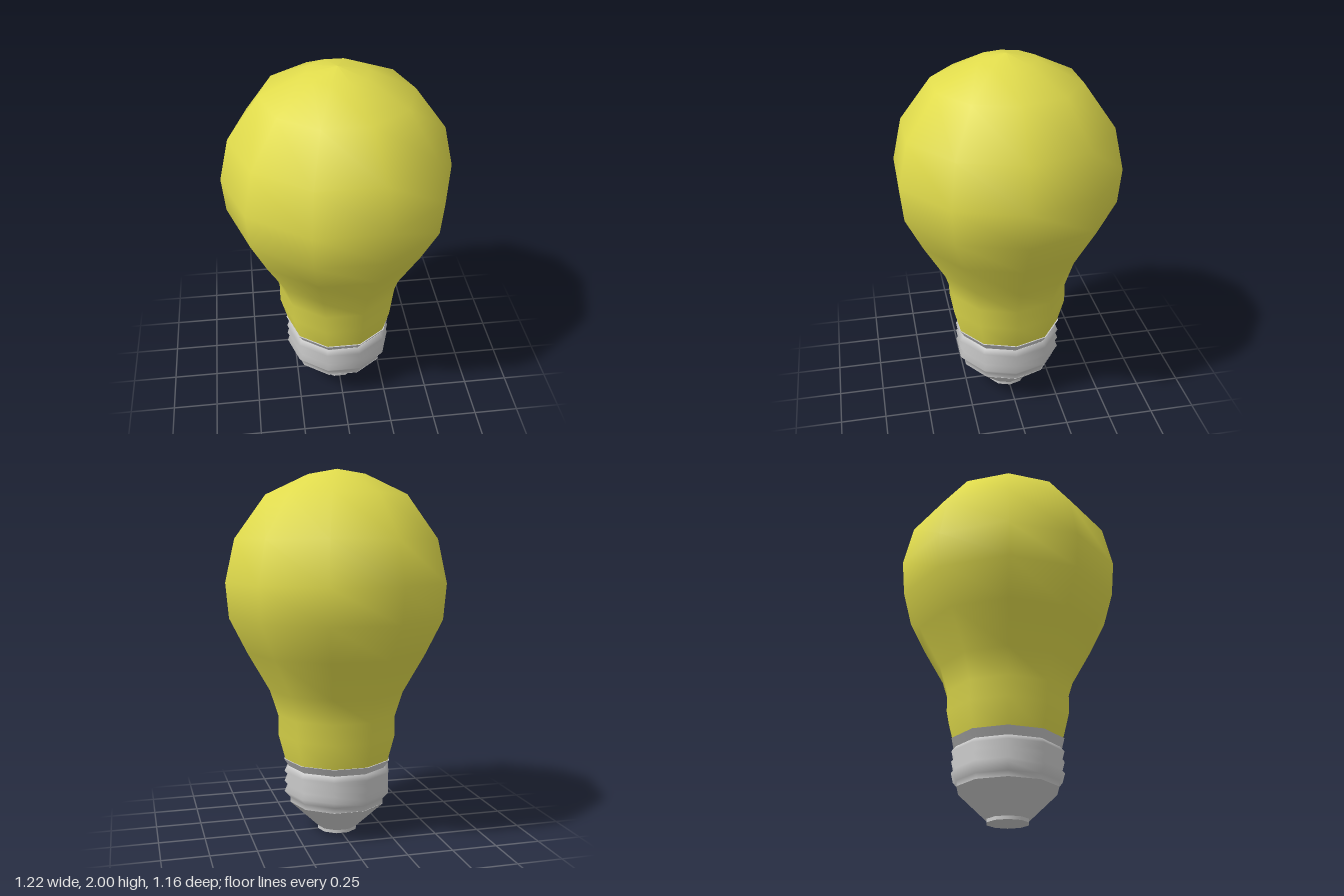
import * as THREE from 'three';

const SIDES = 10;

// Ten-sided lathe with corners on the x axis; profile runs bottom to top
function turned(name, material, profile) {
  const points = profile.map(([r, y]) => new THREE.Vector2(r, y));
  const mesh = new THREE.Mesh(new THREE.LatheGeometry(points, SIDES, Math.PI / 2), material);
  mesh.name = name;
  return mesh;
}

export function createModel() {
  const model = new THREE.Group();
  model.name = 'lightBulb';
  const glass = new THREE.MeshStandardMaterial({ color: 0xe0db4c, side: THREE.DoubleSide });
  const metal = new THREE.MeshStandardMaterial({ color: 0xcccccc, side: THREE.DoubleSide });

  // Glass envelope: narrow neck swelling to a round dome
  model.add(turned('glassBulb', glass, [
    [0.295, 0.41], [0.335, 0.56], [0.335, 0.67], [0.38, 0.81], [0.5, 1.02],
    [0.595, 1.21], [0.612, 1.4], [0.56, 1.63], [0.392, 1.86], [0.16, 1.97], [0, 2],
  ]));

  // Screw base, split into pieces where the edges are sharp
  const base = new THREE.Group();
  base.name = 'screwBase';
  base.add(turned('collarTop', metal, [[0.305, 0.42], [0.28, 0.42]]));
  base.add(turned('collar', metal, [[0.275, 0.375], [0.305, 0.42]]));

  // Threads: three ridges, listed from the bottom
  const threads = [[0.27, 0.17], [0.272, 0.2]];
  for (const y of [0.235, 0.295, 0.35]) threads.push([0.303, y], [0.28, y + 0.028]);
  base.add(turned('threads', metal, threads));

  // Tapered end and the small contact under it
  base.add(turned('taper', metal, [[0.112, 0.018], [0.272, 0.17]]));
  base.add(turned('contactRim', metal, [[0.112, 0], [0.112, 0.018]]));
  base.add(turned('contactFace', metal, [[0, 0], [0.112, 0]]));
  model.add(base);

  return model;
}
